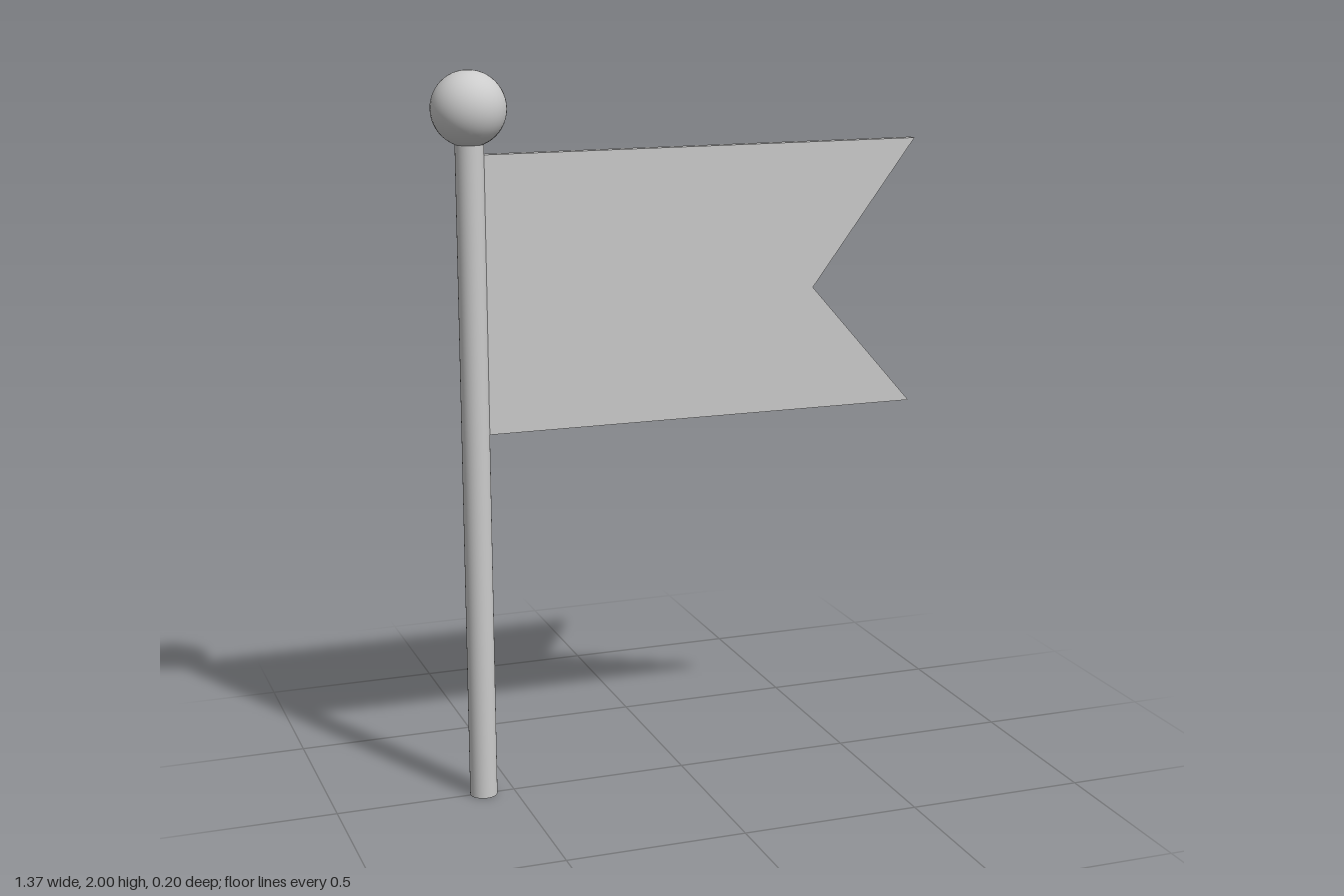
import * as THREE from 'three';

export function createModel() {
  const group = new THREE.Group();
  const material = new THREE.MeshStandardMaterial({ color: 0xcccccc });
  const poleX = -0.587, poleRadius = 0.038, ballRadius = 0.1, flagDepth = 0.026;

  const add = (name, geometry, x, y, z = 0) => {
    const mesh = new THREE.Mesh(geometry, material);
    mesh.name = name;
    mesh.position.set(x, y, z);
    group.add(mesh);
  };

  // Upright pole, ending just inside the ball
  const poleHeight = 1.815;
  add('pole', new THREE.CylinderGeometry(poleRadius, poleRadius, poleHeight, 32), poleX, poleHeight / 2);

  // Ball finial
  add('finial', new THREE.SphereGeometry(ballRadius, 32, 24), poleX, 2 - ballRadius);

  // Swallow-tailed flag, its inner edge sunk into the pole
  const outline = new THREE.Shape([
    [-0.56, 1.03], [0.687, 1.03], [0.385, 1.375], [0.687, 1.78], [-0.56, 1.78],
  ].map(([x, y]) => new THREE.Vector2(x, y)));
  add('flag', new THREE.ExtrudeGeometry(outline, { depth: flagDepth, bevelEnabled: false }), 0, 0, -flagDepth / 2);

  return group;
}
